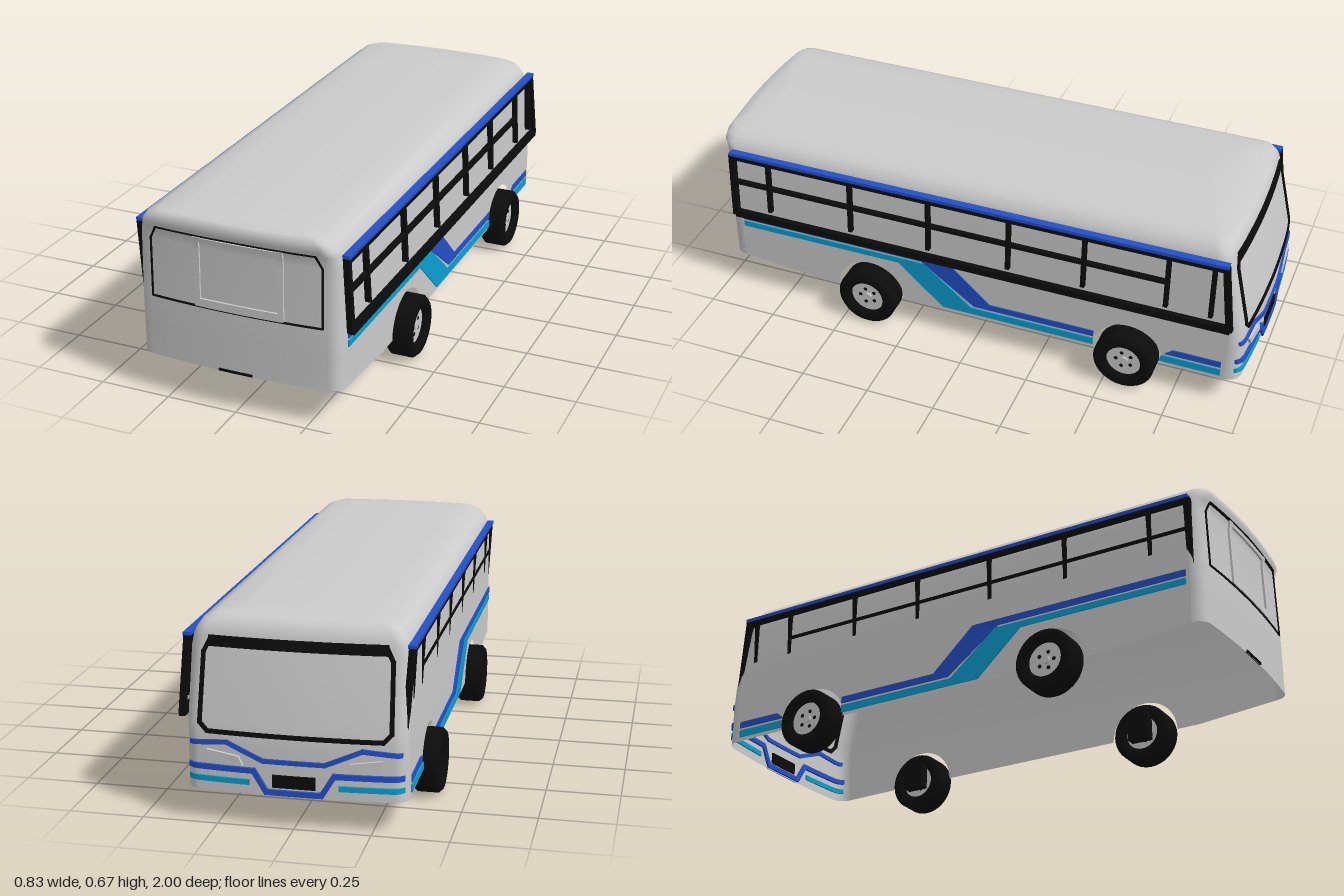
import * as THREE from 'three';

const mat = (color) => new THREE.MeshStandardMaterial({ color, side: THREE.DoubleSide });
const GREY = mat(0xcccccc), BLACK = mat(0x0c0c0c), BLUE = mat(0x2450c8), CYAN = mat(0x0a9fd0);

// Body levels: height, half width, z of the windscreen end, z of the window end
const LEVELS = [
  [0.105, 0.36, -0.99, 0.985], [0.25, 0.36, -0.99, 0.985], [0.335, 0.36, -0.985, 0.985],
  [0.56, 0.357, -0.935, 0.98], [0.6, 0.35, -0.928, 0.985], [0.62, 0.34, -0.922, 0.998],
  [0.645, 0.322, -0.91, 0.995], [0.662, 0.285, -0.885, 0.985], [0.668, 0.2, -0.8, 0.95],
  [0.672, 0, -0.75, 0.9],
];
const WHEELS_Z = [0.405, -0.575];

// Value of one level column at any height
function levelAt(y, col) {
  let i = 0;
  while (i < LEVELS.length - 2 && LEVELS[i + 1][0] < y) i++;
  const [a, b] = [LEVELS[i], LEVELS[i + 1]];
  const t = THREE.MathUtils.clamp((y - a[0]) / (b[0] - a[0]), 0, 1);
  return a[col] + (b[col] - a[col]) * t;
}
// How far the end walls draw back towards the rounded corners
function bow(u) {
  const a = Math.min(Math.abs(u), 1);
  const c = Math.max(0, (a - 0.88) / 0.12);
  return 0.02 * a * a + 0.045 * (1 - Math.sqrt(1 - c * c));
}

// Surfaces that trim is laid on: (u along, v up, n outward) to a point
const onNose = (u, v, n) => [u, v, levelAt(v, 2) + bow(u / levelAt(v, 1)) - n];
const onTail = (u, v, n) => [u, v, levelAt(v, 3) - bow(u / levelAt(v, 1)) + n];
const onSide = (s) => (u, v, n) => [s * (0.361 + n), v, u];
// The window frames keep the same lean on both sides
const onFrame = (s) => (u, v, n) => [(s > 0 ? 0.365 : -0.36) + (0.6 - v) * 0.055 + s * n, v, u];

function lay(geometry, surface) {
  const p = geometry.attributes.position;
  for (let i = 0; i < p.count; i++) p.setXYZ(i, ...surface(p.getX(i), p.getY(i), p.getZ(i)));
  geometry.computeVertexNormals();
  return geometry;
}
function add(parent, name, geometry, material) {
  const mesh = new THREE.Mesh(geometry, material);
  mesh.name = name;
  parent.add(mesh);
  return mesh;
}
// Flat bars following a polyline over a surface
function bars(parent, name, pts, width, thick, surface, material) {
  for (let i = 0; i + 1 < pts.length; i++) {
    const [a, b] = [pts[i], pts[i + 1]];
    const dx = b[0] - a[0], dy = b[1] - a[1];
    const g = new THREE.BoxGeometry(Math.hypot(dx, dy) + width * 0.6, width, thick, 12, 1, 1);
    g.rotateZ(Math.atan2(dy, dx)).translate((a[0] + b[0]) / 2, (a[1] + b[1]) / 2, 0);
    add(parent, name, lay(g, surface), material);
  }
}
const polygon = (pts) => new THREE.Shape(pts.map((p) => new THREE.Vector2(...p)));
const panel = (pts, depth) => new THREE.ExtrudeGeometry(polygon(pts), { depth, bevelEnabled: false });

// Open-bottomed shell: rings stacked by height, sides of the skirt left out for the arches
function shellGeometry() {
  const us = [1, 0.994, 0.98, 0.96, 0.93, 0.88, 0.6, 0.3, 0, -0.3, -0.6, -0.88, -0.93, -0.96, -0.98, -0.994, -1];
  const n = us.length, pos = [], idx = [];
  LEVELS.forEach(([y, w, zF, zR], j) => {
    us.forEach((u) => pos.push(u * w, y, zF + bow(u)));
    us.forEach((u) => pos.push(-u * w, j ? y : 0.135, zR - bow(u)));
  });
  for (let j = 0; j + 1 < LEVELS.length; j++) {
    for (let i = 0; i < 2 * n; i++) {
      if (j === 0 && i % n === n - 1) continue;
      const k = (i + 1) % (2 * n), a = j * 2 * n, b = a + 2 * n;
      idx.push(a + i, a + k, b + k, a + i, b + k, b + i);
    }
  }
  const g = new THREE.BufferGeometry();
  g.setAttribute('position', new THREE.Float32BufferAttribute(pos, 3));
  g.setIndex(idx);
  g.computeVertexNormals();
  return g;
}

// Lower side wall with two wheel arches
function skirtGeometry(s) {
  const shape = new THREE.Shape();
  shape.moveTo(0.92, 0.135);
  shape.lineTo(0.62, 0.108);
  WHEELS_Z.forEach((z) => {
    shape.lineTo(z + 0.13, 0.108);
    shape.absarc(z, 0.108, 0.13, 0, Math.PI, false);
  });
  shape.lineTo(-0.925, 0.105);
  shape.lineTo(-0.925, 0.25);
  shape.lineTo(0.92, 0.25);
  return lay(new THREE.ShapeGeometry(shape, 24), (u, v) => [s * 0.36, v, u]);
}

function makeWheel(s, z) {
  const wheel = new THREE.Group();
  wheel.name = 'wheel';
  const profile = [[0.062, -0.036], [0.075, -0.0475], [0.098, -0.0475], [0.11, -0.035],
    [0.11, 0.035], [0.098, 0.0475], [0.075, 0.0475], [0.062, 0.036]];
  const tyre = new THREE.LatheGeometry(profile.map((p) => new THREE.Vector2(...p)), 36);
  add(wheel, 'tyre', tyre.rotateZ(Math.PI / 2), BLACK);
  add(wheel, 'rim', new THREE.CylinderGeometry(0.064, 0.064, 0.05, 32).rotateZ(Math.PI / 2), GREY);
  add(wheel, 'hubCap', new THREE.CylinderGeometry(0.014, 0.014, 0.064, 16).rotateZ(Math.PI / 2), GREY);
  for (let i = 0; i < 5; i++) {
    const a = (i / 5) * Math.PI * 2;
    const hole = add(wheel, 'rimHole', new THREE.CylinderGeometry(0.007, 0.007, 0.053, 10).rotateZ(Math.PI / 2), BLACK);
    hole.position.set(0, Math.sin(a) * 0.03, Math.cos(a) * 0.03);
  }
  const mount = add(wheel, 'axleMount', new THREE.BoxGeometry(0.04, 0.1, 0.08), BLACK);
  mount.position.set(-s * 0.052, 0.015, 0);
  wheel.position.set(s * 0.3675, 0.11, z);
  return wheel;
}

export function createModel() {
  const bus = new THREE.Group();
  bus.name = 'bus';
  add(bus, 'bodyShell', shellGeometry(), GREY);

  // Window frames, stripes, skirts and wheels on both sides
  for (const s of [1, -1]) {
    const side = new THREE.Group();
    side.name = s > 0 ? 'leftSide' : 'rightSide';
    bus.add(side);
    add(side, 'sideSkirt', skirtGeometry(s), GREY);

    const f = onFrame(s);
    bars(side, 'windowTopRail', [[0.92, 0.583], [-0.9, 0.583]], 0.018, 0.02, f, BLACK);
    bars(side, 'gutterRail', [[0.93, 0.597], [-0.905, 0.597]], 0.012, 0.026, f, BLUE);
    bars(side, 'windowSill', [[0.92, 0.343], [-0.925, 0.343]], 0.026, 0.02, f, BLACK);
    bars(side, 'windowMidRail', [[0.92, 0.48], [-0.7, 0.48]], 0.012, 0.018, f, BLACK);
    bars(side, 'windowEndPost', [[0.927, 0.345], [0.927, 0.585]], 0.022, 0.02, f, BLACK);
    bars(side, 'windowEndPost', [[-0.93, 0.345], [-0.9, 0.585]], 0.022, 0.02, f, BLACK);
    for (const z of [0.785, 0.465, 0.165, -0.135, -0.41, -0.705, -0.862])
      bars(side, 'windowPost', [[z, 0.385], [z, 0.58]], 0.015, 0.018, f, BLACK);

    const o = onSide(s);
    const stripe = (pts, m) => add(side, 'sideStripe', lay(panel(pts, 0.004), o), m);
    stripe([[0.91, 0.328], [0.1, 0.328], [-0.06, 0.18], [-0.45, 0.18], [-0.45, 0.156], [0, 0.156], [0.2, 0.305], [0.91, 0.305]], BLUE);
    stripe([[0.91, 0.297], [0.19, 0.297], [0.01, 0.147], [-0.45, 0.147], [-0.45, 0.12], [0.12, 0.12], [0.29, 0.275], [0.91, 0.275]], CYAN);
    stripe([[-0.71, 0.156], [-0.74, 0.18], [-0.91, 0.18], [-0.91, 0.156]], BLUE);
    stripe([[-0.69, 0.12], [-0.7, 0.147], [-0.91, 0.147], [-0.91, 0.12]], CYAN);

    WHEELS_Z.forEach((z) => side.add(makeWheel(s, z)));

    // Headlamp and bumper trim, mirrored across the nose
    const lamp = [[0.165, 0.2], [0.27, 0.215], [0.285, 0.245], [0.18, 0.23]].map(([x, y]) => [s * x, y]);
    add(bus, 'headlamp', lay(panel(lamp, 0.01), onNose), GREY);
    const m = (pts) => pts.map(([x, y]) => [s * x, y]);
    bars(bus, 'noseStripe', m([[0.345, 0.185], [0.13, 0.185], [0.09, 0.118], [0, 0.118]]), 0.018, 0.018, onNose, BLUE);
    bars(bus, 'noseStripe', m([[0.345, 0.145], [0.15, 0.145]]), 0.018, 0.014, onNose, CYAN);
    bars(bus, 'noseStripe', m([[0.34, 0.262], [0.22, 0.272], [0.1, 0.22], [0, 0.22]]), 0.015, 0.014, onNose, BLUE);
    // Windscreen and tail window frame halves
    bars(bus, 'windscreenFrame', m([[0.285, 0.59], [0.305, 0.55], [0.31, 0.33], [0.285, 0.303], [0, 0.303]]), 0.014, 0.012, onNose, BLACK);
    bars(bus, 'tailWindowFrame', m([[0, 0.604], [0.28, 0.602], [0.302, 0.56], [0.302, 0.355], [0, 0.355]]), 0.006, 0.008, onTail, BLACK);
  }
  bars(bus, 'windscreenTopBand', [[-0.28, 0.585], [0.28, 0.585]], 0.034, 0.012, onNose, BLACK);
  add(bus, 'noseGrille', lay(new THREE.BoxGeometry(0.14, 0.042, 0.012), onNose).translate(0, 0.155, 0), BLACK);
  bars(bus, 'tailStrip', [[-0.06, 0.14], [0.055, 0.14]], 0.008, 0.008, onTail, BLACK);

  // Inner frame of the tail window
  bars(bus, 'tailWindowPanel', [[-0.13, 0.365], [-0.13, 0.595]], 0.02, 0.014, onTail, GREY);
  bars(bus, 'tailWindowPanel', [[0.163, 0.365], [0.163, 0.595]], 0.02, 0.014, onTail, GREY);
  bars(bus, 'tailWindowPanel', [[-0.13, 0.592], [0.163, 0.592]], 0.014, 0.014, onTail, GREY);
  bars(bus, 'tailWindowPanel', [[-0.13, 0.371], [0.163, 0.371]], 0.028, 0.014, onTail, GREY);
  return bus;
}
